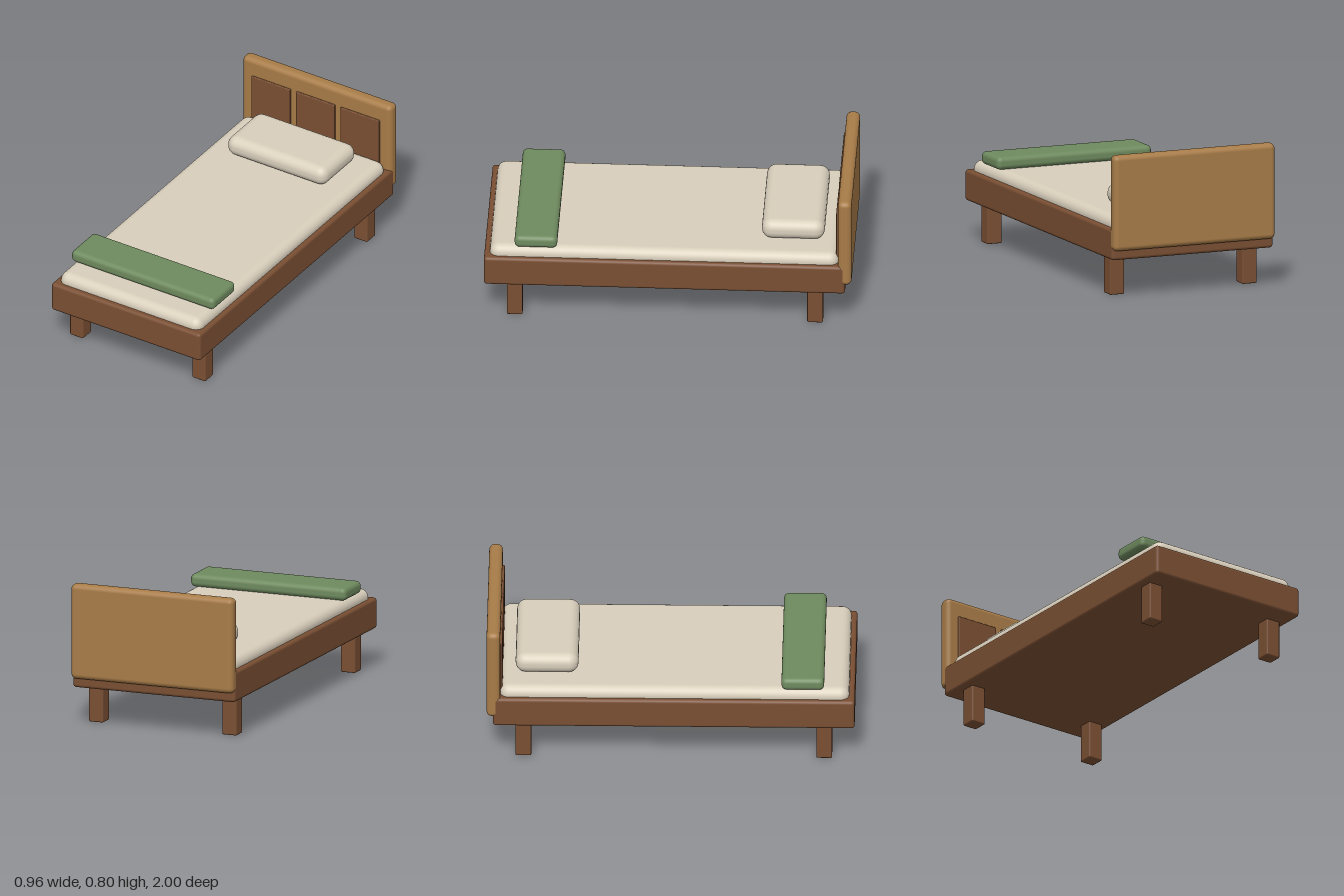
import * as THREE from 'three';
import { RoundedBoxGeometry } from 'three/addons/geometries/RoundedBoxGeometry.js';

const paint = (name, color) => {
  const m = new THREE.MeshStandardMaterial({ color });
  m.name = name;
  return m;
};

export function createModel() {
  const bed = new THREE.Group();
  bed.name = 'bed';
  const darkWood = paint('darkWood', 0x7a4f33);
  const lightWood = paint('lightWood', 0xa87c48);
  const linen = paint('linen', 0xd9cfbc);
  const green = paint('greenBlanket', 0x6e8a5e);

  // Soft-edged block given by its limits on each axis
  const block = (name, material, [x0, x1], [y0, y1], [z0, z1], radius, segments = 3) => {
    const geometry = new RoundedBoxGeometry(x1 - x0, y1 - y0, z1 - z0, segments, radius);
    const mesh = new THREE.Mesh(geometry, material);
    mesh.name = name;
    mesh.position.set((x0 + x1) / 2, (y0 + y1) / 2, (z0 + z1) / 2);
    bed.add(mesh);
  };

  // Frame and headboard
  block('frame', darkWood, [-0.48, 0.48], [0.213, 0.385], [-0.965, 1], 0.018);
  block('headboard', lightWood, [-0.48, 0.48], [0.267, 0.795], [-1, -0.926], 0.028);

  // Three inset-style headboard panels
  ['rightPanel', 'middlePanel', 'leftPanel'].forEach((name, i) => {
    const x = (i - 1) * 0.287;
    block(name, darkWood, [x - 0.125, x + 0.125], [0.37, 0.693], [-0.94, -0.914], 0.005, 2);
  });

  // Legs
  for (const [side, x] of [['Left', 0.394], ['Right', -0.394]]) {
    for (const [end, z] of [['front', 0.834], ['back', -0.8]]) {
      block(`${end}${side}Leg`, darkWood, [x - 0.043, x + 0.043], [0, 0.23], [z - 0.043, z + 0.043], 0.008, 2);
    }
  }

  // Bedding
  block('mattress', linen, [-0.455, 0.455], [0.3, 0.443], [-0.928, 0.97], 0.05);
  block('pillow', linen, [-0.32, 0.32], [0.443, 0.558], [-0.845, -0.503], 0.053);
  block('foldedBlanket', green, [-0.46, 0.46], [0.441, 0.512], [0.602, 0.834], 0.027);
  return bed;
}
